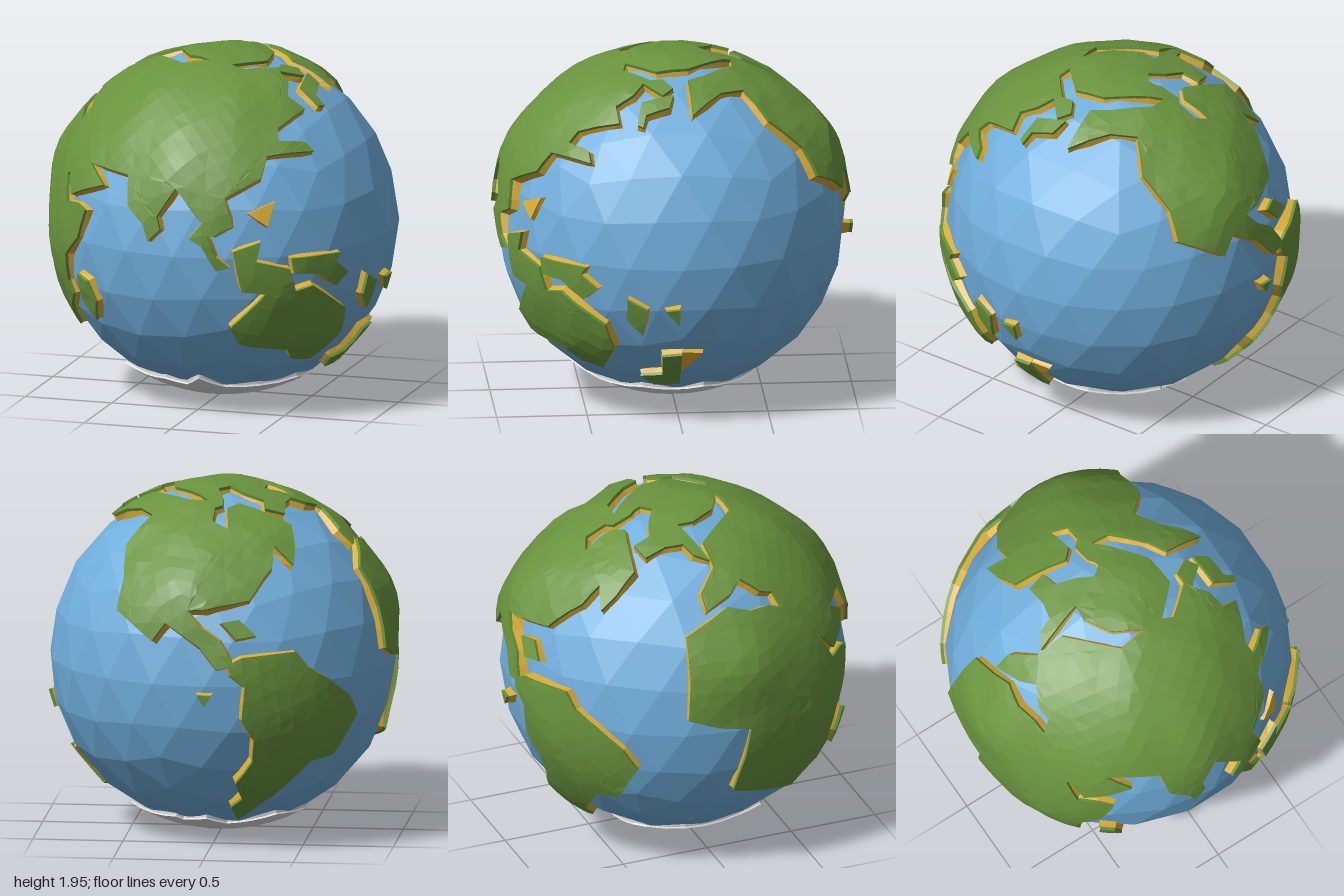
import * as THREE from 'three';

const CENTER_Y = 0.967, LAND = 0.995;
const V = (x, y, z) => new THREE.Vector3(x, y, z);
const flat = (name, color) => Object.assign(new THREE.MeshStandardMaterial({ color }), { name });
const mats = {
  ocean: flat('ocean blue', 0x70aedc), grass: flat('grass green', 0x69933d),
  sand: flat('sand yellow', 0xdcad36), ice: flat('ice white', 0xdedede),
};

// A chart is a flat drawing plane; its points are pushed out onto the globe.
function chart(azimuth, elevation, su = 1, sv = 1, v0 = 0) {
  const a = THREE.MathUtils.degToRad(azimuth), e = THREE.MathUtils.degToRad(elevation);
  const out = V(Math.sin(a) * Math.cos(e), Math.sin(e), Math.cos(a) * Math.cos(e));
  const right = V(Math.cos(a), 0, -Math.sin(a));
  const up = out.clone().cross(right);
  return (u, v) => {
    u *= su; v = v * sv - v0;
    const w = Math.sqrt(Math.max(0, LAND * LAND - u * u - v * v));
    return V().addScaledVector(right, u).addScaledVector(up, v).addScaledVector(out, w).normalize();
  };
}
const charts = {
  asia: chart(0, 0, 1, 1, 0.965),           // x, y
  pacific: chart(90, 0, -1, 1, 0.965),      // z, y
  north: chart(0, 90, 1, -1),               // x, z
  south: chart(0, -90),                     // x, z
  atlantic: chart(215, 25, 1 / 174, 1 / 174),
  eastPacific: chart(145, -27, 1 / 174, 1 / 174),
};
function trace(segments) {
  const pts = [];
  for (const [name, ...n] of segments)
    for (let i = 0; i < n.length; i += 2) pts.push(charts[name](n[i], n[i + 1]));
  return pts;
}

// Mountains and lowlands: direction, height, spread
const relief = [
  [V(0.18, 0.5, -0.87), 0.05, 0.18], [V(-0.93, 0.35, 0.08), 0.035, 0.13],
  [V(-0.2, 0.05, -0.97), 0.015, 0.25], [V(0.7, -0.42, 0.57), 0.01, 0.2],
  [V(-0.95, -0.15, 0.2), -0.02, 0.25], [V(0, 1, 0), -0.014, 0.3],
  [V(-0.99, 0.05, 0), -0.025, 0.22], [V(0.02, 0.5, 0.87), 0.03, 0.22],
];
function landHeight(p) {
  let h = LAND + 0.006 * Math.sin(9 * p.x + 4 * p.z + 1) * Math.sin(8 * p.y - 3 * p.x)
    + 0.005 * Math.sin(17 * p.z + 11 * p.y) * Math.sin(15 * p.x + 2);
  for (const [c, amount, spread] of relief)
    h += amount * Math.exp(-c.distanceToSquared(p) / (2 * spread * spread));
  return Math.max(h, 0.97);
}

// Triangulate an outline on the sphere, then halve long edges.
function patch(outline, maxEdge) {
  const c = V();
  outline.forEach(p => c.add(p));
  c.normalize();
  const e1 = V(0.31, 0.52, 0.79).cross(c).normalize(), e2 = c.clone().cross(e1);
  const plane = outline.map(p => new THREE.Vector2(p.dot(e1) / p.dot(c), p.dot(e2) / p.dot(c)));
  const tris = [];
  const split = (a, b, d) => {
    const l = [a.distanceTo(b), b.distanceTo(d), d.distanceTo(a)], m = Math.max(...l);
    if (m <= maxEdge) { tris.push([a, b, d]); return; }
    if (l[1] === m) [a, b, d] = [b, d, a];
    else if (l[2] === m) [a, b, d] = [d, a, b];
    const mid = a.clone().add(b).normalize();
    split(a, mid, d);
    split(mid, b, d);
  };
  for (const [i, j, k] of THREE.ShapeUtils.triangulateShape(plane, [])) {
    const area = plane[j].clone().sub(plane[i]).cross(plane[k].clone().sub(plane[i]));
    if (Math.abs(area) < 1e-7) continue;
    if (area > 0) split(outline[i], outline[j], outline[k]);
    else split(outline[i], outline[k], outline[j]);
  }
  return tris;
}

function mesh(name, pts, material) {
  const g = new THREE.BufferGeometry().setFromPoints(pts);
  g.computeVertexNormals();
  const m = new THREE.Mesh(g, material);
  m.name = name;
  return m;
}

// Raised slab: top surface, upright rim in the same colour, sloping beach below.
function slab(name, segments, { top = mats.grass, beach = mats.sand, height = landHeight, rim = 0.018, maxEdge = 0.13 } = {}) {
  const tris = patch(trace(segments), maxEdge);
  const key = p => p.toArray().map(n => n.toFixed(5)).join();
  const edges = new Map(), seaward = new Map();
  const upper = [], lower = [];
  for (const t of tris) t.forEach((p, i) => {
    upper.push(p.clone().multiplyScalar(height(p)));
    const q = t[(i + 1) % 3];
    edges.set(key(p) + '|' + key(q), [p, q]);
  });
  const shore = [...edges.values()].filter(([a, b]) => !edges.has(key(b) + '|' + key(a)));
  for (const [a, b] of shore) {
    const side = b.clone().sub(a).cross(a).normalize();
    for (const p of [a, b]) seaward.set(key(p), (seaward.get(key(p)) ?? V()).add(side));
  }
  const wall = (list, al, bl, bt, at) => list.push(al, bl, bt, al, bt, at);
  const crest = p => p.clone().multiplyScalar(height(p));
  const seam = p => p.clone().multiplyScalar(height(p) - rim);
  const foot = p => p.clone().multiplyScalar(0.93).addScaledVector(seaward.get(key(p)).clone().normalize(), 0.016);
  for (const [a, b] of shore) {
    wall(upper, seam(a), seam(b), crest(b), crest(a));
    wall(lower, foot(a), foot(b), seam(b), seam(a));
  }
  const group = new THREE.Group();
  group.name = name;
  group.add(mesh(name + 'Top', upper, top), mesh(name + 'Shore', lower, beach));
  return group;
}

const lands = {
  eurasia: [
    ['asia', -0.68, 1.21, -0.45, 1.31, -0.55, 1.4, -0.29, 1.385, -0.27, 1.23, -0.17, 1.14, -0.14, 1.05, -0.07, 1.12,
      -0.09, 1.19, 0.01, 1.34, 0.17, 1.17, 0.1, 1.08, 0.17, 1.04, 0.25, 0.9, 0.32, 0.92, 0.25, 0.98, 0.2, 1.1,
      0.24, 1.1, 0.33, 1.15, 0.32, 1.2, 0.28, 1.3, 0.45, 1.4, 0.46, 1.51, 0.67, 1.51, 0.62, 1.56, 0.5, 1.58, 0.48, 1.64],
    ['north', 0.57, 0.33, 0.47, 0.34, 0.44, 0.24, 0.37, 0.18, 0.48, 0.08, 0.43, 0.02, 0.35, 0.07,
      0.35, 0.14, 0.19, 0.28, 0.11, 0.26, 0.02, 0.2, 0, 0.26, -0.16, 0.28, -0.4, 0.02, -0.55, 0.02, -0.66, -0.1,
      -0.74, -0.1, -0.69, 0.06, -0.63, 0.14, -0.68, 0.24, -0.67, 0.32],
    ['asia', -0.78, 1.45, -0.73, 1.38],
  ],
  arctic: [
    ['north', -0.38, -0.32, -0.275, -0.345, -0.26, -0.25, -0.15, -0.21, -0.06, -0.15, 0, -0.2, -0.03, -0.36, 0.04, -0.34,
      0.26, -0.08, 0.28, 0.1, 0.11, 0.27, 0.1, 0.34, 0, 0.34, 0, 0.26, -0.16, 0.17, -0.25, 0.02, -0.24, -0.07,
      -0.52, 0.01, -0.47, -0.07, -0.39, -0.1, -0.37, -0.2],
  ],
  africa: [
    ['asia', -0.56, 1.155, -0.62, 0.99, -0.71, 0.87, -0.71, 0.71, -0.68, 0.635, -0.73, 0.49, -0.71, 0.41, -0.79, 0.45],
    ['atlantic', 129, -102, 144, -67, 149, -37, 129, -42, 106, -40],
    ['north', -0.9, -0.26, -0.79, -0.24, -0.77, -0.08, -0.74, 0.02, -0.76, 0.15, -0.73, 0.27],
    ['asia', -0.7, 1.5, -0.66, 1.4, -0.73, 1.3, -0.71, 1.17, -0.63, 1.18],
  ],
  northAmerica: [
    ['north', -0.46, -0.53, -0.42, -0.4, -0.24, -0.37, -0.13, -0.34, -0.07, -0.4, -0.09, -0.56, 0, -0.52, 0, -0.41,
      -0.04, -0.38, -0.03, -0.27, 0.02, -0.2, 0.05, -0.34, 0.15, -0.33, 0.31, -0.17, 0.37, -0.07, 0.6, -0.08,
      0.43, -0.25, 0.35, -0.38, 0.48, -0.51, 0.47, -0.69],
    ['pacific', -0.77, 1.35, -0.85, 1.29, -0.92, 1.21],
    ['atlantic', -121, 8, -100, -22, -88, -46, -73, -46, -83, -20, -97, -3, -103, 14, -89, 11, -50, 13, -31, 33,
      -19, 43, -8, 65, 4, 43],
  ],
  southAmerica: [
    ['atlantic', -79, -44, -66, -40, -13, -42, -1, -57, 23, -70, 49, -85, 61, -100, 49, -117, 36, -132, 11, -137,
      -5, -150, -25, -163],
    ['eastPacific', 74, -100, 82, -77, 97, -67, 102, -44, 122, -24, 129, -2, 125, 23, 129, 53, 119, 68],
  ],
  australia: [
    ['asia', 0.34, 1.01, 0.48, 1.06, 0.46, 0.95, 0.62, 0.9, 0.64, 0.77, 0.72, 0.79, 0.76, 0.74, 0.83, 0.62, 0.78, 0.47,
      0.62, 0.31, 0.55, 0.33, 0.55, 0.41, 0.33, 0.46, 0.3, 0.56, 0.5, 0.76, 0.38, 0.78, 0.36, 0.9],
  ],
  northernIsland: [['asia', 0.63, 0.96, 0.84, 0.96, 0.82, 0.91, 0.865, 0.84, 0.81, 0.77, 0.735, 0.86, 0.64, 0.87]],
  coralIsland: [['pacific', 0.31, 0.79, 0.2, 0.73, 0.22, 0.57, 0.31, 0.67]],
  smallPacificIsland: [['pacific', 0.1, 0.73, 0.02, 0.74, 0.02, 0.64]],
  southernIsland: [['pacific', 0.22, 0.27, 0.1, 0.29, 0.11, 0.43, 0, 0.44, 0, 0.22, 0.14, 0.2]],
  africanIsland: [['asia', -0.62, 0.78, -0.55, 0.75, -0.5, 0.635, -0.51, 0.52, -0.6, 0.635]],
  easternIsland: [['north', 0.48, 0.02, 0.56, 0.05, 0.58, 0.18, 0.64, 0.2, 0.62, 0.23, 0.5, 0.2]],
  gulfIsland: [['atlantic', -79, -4, -63, -4, -51, -22, -69, -22]],
  equatorIsland: [['eastPacific', 94, 60, 105, 56, 99, 48]],
};
const sandbars = {
  tropicalSandbar: [['asia', 0.41, 1.22, 0.54, 1.28, 0.515, 1.145]],
  southernSandbar: [['pacific', 0, 0.44, -0.12, 0.43, 0, 0.29]],
};
const iceCap = [['south', -0.49, 0.34, -0.33, 0.42, -0.2, 0.51, -0.07, 0.5, 0.03, 0.6, 0.14, 0.48, 0.32, 0.37, 0.49, 0.2,
  0.5, 0.03, 0.51, -0.15, 0.22, -0.45, 0.18, -0.43, 0.04, -0.5, -0.07, -0.42, -0.35, -0.39, -0.4, -0.33,
  -0.48, -0.12, -0.48, 0.1, -0.47, 0.22]];

export function createModel() {
  const globe = new THREE.Group();
  globe.name = 'globe';

  // Faceted ocean with a corner at each pole
  const sphere = new THREE.IcosahedronGeometry(0.957, 3);
  sphere.rotateZ(Math.atan(2 / (1 + Math.sqrt(5))));
  sphere.computeVertexNormals();
  const ocean = new THREE.Mesh(sphere, mats.ocean);
  ocean.name = 'ocean';
  globe.add(ocean);

  for (const [name, outline] of Object.entries(lands)) globe.add(slab(name, outline));
  for (const [name, outline] of Object.entries(sandbars))
    globe.add(slab(name, outline, { top: mats.sand, height: () => 0.972, rim: 0.01 }));
  globe.add(slab('iceCap', iceCap, { top: mats.ice, beach: mats.ice, height: () => 0.967, rim: 0.01 }));

  globe.position.y = CENTER_Y;
  const model = new THREE.Group();
  model.name = 'lowPolyGlobe';
  model.add(globe);
  return model;
}
